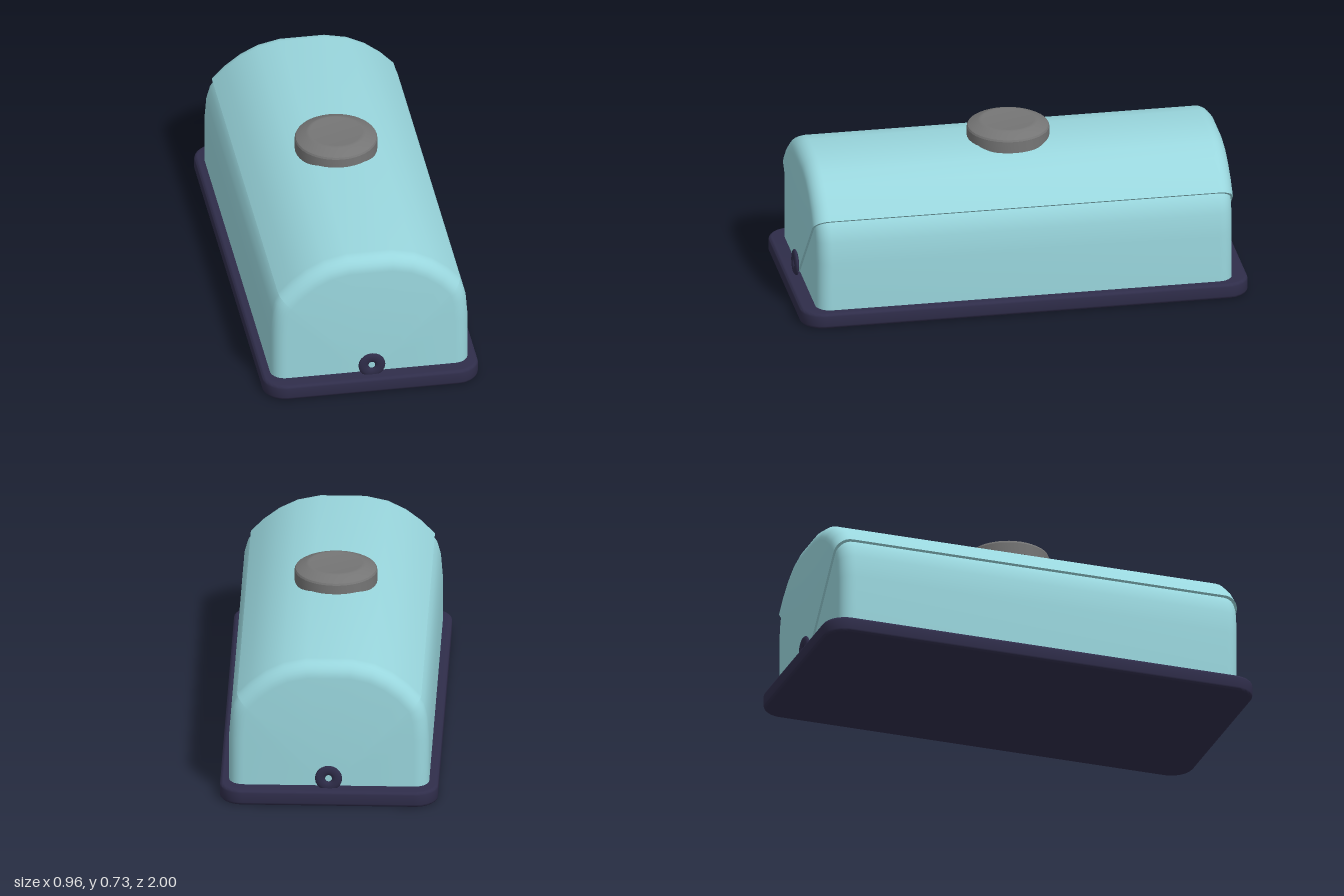
import * as THREE from 'three';
import { toCreasedNormals } from 'three/addons/utils/BufferGeometryUtils.js';

const CREASE = 0.6;

// Mirror a right-hand half profile to a full arch running from +x over the top to -x
const arch = half => [...half, ...half.slice().reverse().map(([x, y]) => [-x, y])];

// Move each profile point inwards along its normal
function inset(profile, d) {
  return profile.map(([x, y], i) => {
    const a = profile[Math.max(i - 1, 0)];
    const b = profile[Math.min(i + 1, profile.length - 1)];
    const tx = b[0] - a[0], ty = b[1] - a[1], l = Math.hypot(tx, ty);
    return [x - (ty / l) * d, y + (tx / l) * d];
  });
}

// Arch cross-sections along z with rounded ends of radius r
function makeRings(profile, halfLength, r, offset = 0) {
  const steps = 7, ends = [];
  for (let i = 0; i <= steps; i++) {
    const t = (i / steps) * Math.PI / 2;
    const z = halfLength - offset - r + r * Math.sin(t);
    ends.push({ z, pts: inset(profile, offset + r * (1 - Math.cos(t))) });
  }
  const back = ends.slice().reverse().map(e => ({ z: -e.z, pts: e.pts }));
  return [...back, ...ends].map(e => e.pts.map(([x, y]) => [x, y, e.z]));
}

function indexed(points, index) {
  const g = new THREE.BufferGeometry();
  g.setAttribute('position', new THREE.Float32BufferAttribute(points.flat(), 3));
  g.setIndex(index);
  return toCreasedNormals(g, CREASE);
}

// Skin the rings and close each end with a fan around a hub on the centre line
function loft(rings, hubY) {
  const n = rings[0].length, index = [], points = rings.flat();
  for (let i = 0; i < rings.length - 1; i++) {
    for (let j = 0; j < n - 1; j++) {
      const a = i * n + j, b = a + 1, c = a + n, d = c + 1;
      index.push(a, b, c, b, d, c);
    }
  }
  const last = (rings.length - 1) * n, hub = points.length;
  points.push([0, hubY, rings[0][0][2]], [0, hubY, rings[rings.length - 1][0][2]]);
  for (let j = 0; j < n - 1; j++) {
    index.push(hub, j + 1, j, hub + 1, last + j, last + j + 1);
  }
  return indexed(points, index);
}

// Thin edge strip joining the outer lid border to its inner border
function rim(outer, inner, side, hubY) {
  const border = rings => {
    const path = rings.map(r => r[side < 0 ? r.length - 1 : 0]);
    return [[0, hubY, path[0][2]], ...path, [0, hubY, path[path.length - 1][2]]];
  };
  const a = border(outer), b = border(inner), index = [], n = a.length;
  for (let i = 0; i < n - 1; i++) index.push(i, i + 1, n + i, i + 1, n + i + 1, n + i);
  return indexed([...a, ...b], index);
}

export function createModel() {
  const group = new THREE.Group();
  const material = (name, color, side = THREE.FrontSide) => {
    const m = new THREE.MeshStandardMaterial({ color, side });
    m.name = name;
    return m;
  };
  const teal = material('pale teal', 0x99d6dd, THREE.DoubleSide);
  const navy = material('dark navy', 0x2f2d4a);
  const grey = material('mid grey', 0x757575);
  const add = (name, geometry, mat) => {
    const mesh = new THREE.Mesh(geometry, mat);
    mesh.name = name;
    group.add(mesh);
    return mesh;
  };

  // Base tray: rounded rectangle with softened edges
  const bevel = 0.014, w = 0.48 - bevel, l = 1 - bevel, r = 0.09;
  const plan = new THREE.Shape();
  plan.absarc(w - r, l - r, r, 0, Math.PI / 2);
  plan.absarc(-w + r, l - r, r, Math.PI / 2, Math.PI);
  plan.absarc(-w + r, -l + r, r, Math.PI, Math.PI * 1.5);
  plan.absarc(w - r, -l + r, r, Math.PI * 1.5, Math.PI * 2);
  const base = new THREE.ExtrudeGeometry(plan, {
    depth: 0.071 - 2 * bevel, bevelSize: bevel, bevelThickness: bevel, bevelSegments: 3, curveSegments: 8,
  });
  base.rotateX(-Math.PI / 2);
  base.translate(0, bevel, 0);
  add('baseTray', toCreasedNormals(base, CREASE), navy);

  // Lower body, continuing as an arch under the lid
  const bodyProfile = arch([[0.44, 0.06], [0.44, 0.29], [0.432, 0.39], [0.417, 0.445],
    [0.397, 0.475], [0.343, 0.533], [0.275, 0.586], [0.197, 0.625], [0.1, 0.647]]);
  add('body', loft(makeRings(bodyProfile, 0.93, 0.065), 0.06), teal);

  // Swinging lid, tapering to the pivots on both ends
  const lidProfile = arch([[0.405, 0.483], [0.35, 0.541], [0.28, 0.595], [0.2, 0.635], [0.1, 0.657]]);
  const outer = makeRings(lidProfile, 0.94, 0.07);
  const inner = makeRings(lidProfile, 0.94, 0.07, 0.011);
  add('lid', loft(outer, 0.068), teal);
  add('lidRimLeft', rim(outer, inner, 1, 0.068), teal);
  add('lidRimRight', rim(outer, inner, -1, 0.068), teal);

  // Round knob on top
  const knobProfile = [[0, 0.645], [0.182, 0.645], [0.182, 0.698], [0.178, 0.706], [0.17, 0.711],
    [0.132, 0.727], [0.122, 0.73], [0.115, 0.729], [0, 0.733]].map(([x, y]) => new THREE.Vector2(x, y));
  add('knob', toCreasedNormals(new THREE.LatheGeometry(knobProfile, 40), 0.45), grey);

  // Flattened pivot rings at both ends
  for (const side of [1, -1]) {
    const ring = add(side > 0 ? 'frontPivotRing' : 'backPivotRing',
      new THREE.TorusGeometry(0.0375, 0.0225, 10, 20), navy);
    ring.scale.z = 0.45;
    ring.position.set(0, 0.115, side * 0.951);
  }
  return group;
}
